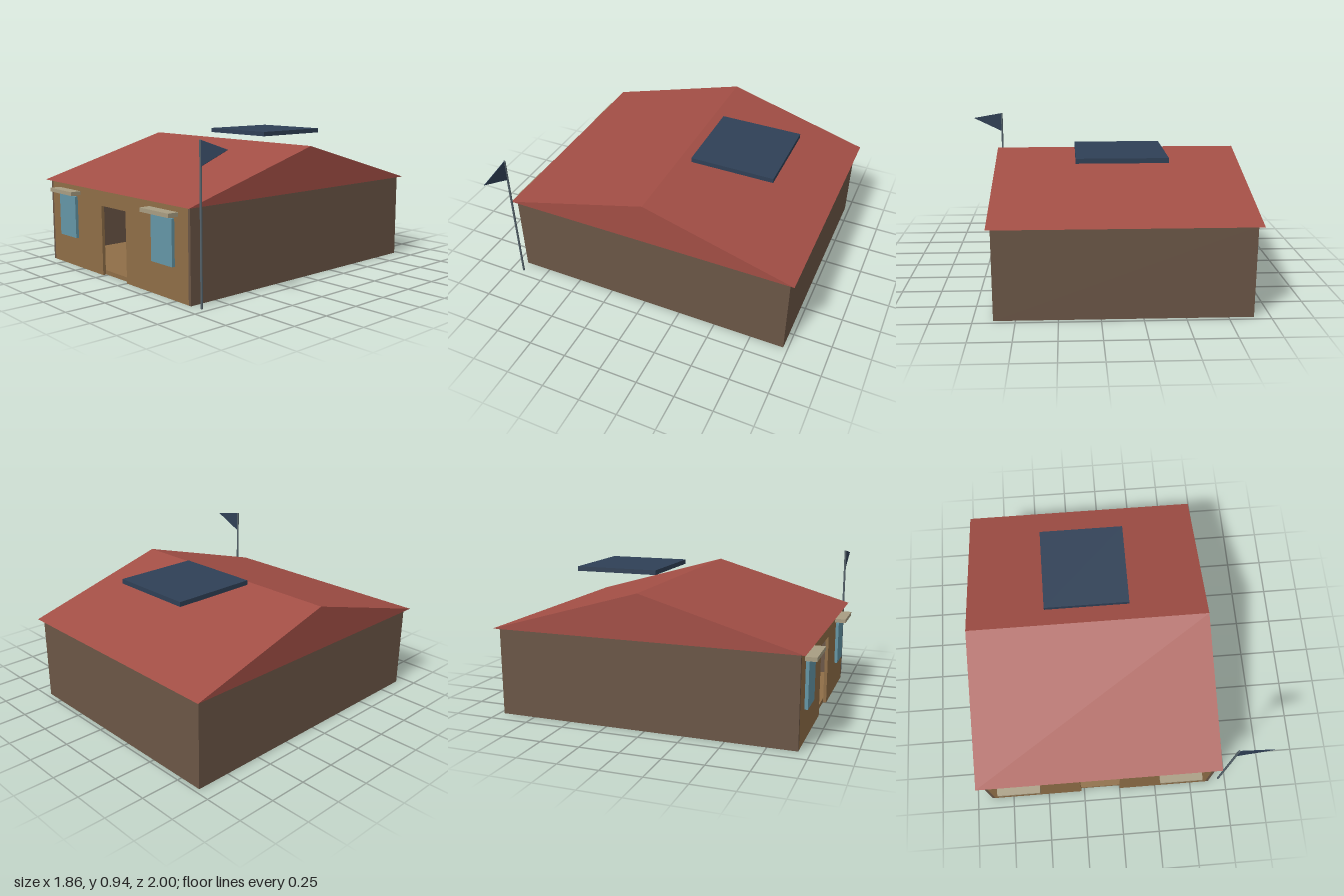
import * as THREE from 'three';

const mat = (color) => new THREE.MeshStandardMaterial({ color });
const wallMat = mat(0x6b5646);
const frontMat = mat(0x8f6e47);
const roofMat = mat(0xa24e45);
const panelMat = mat(0x2f4056);
const glassMat = mat(0x6496a6);
const awningMat = mat(0xa89d82);
const poleMat = mat(0x56646c);

export function createModel() {
  const house = new THREE.Group();
  house.name = 'house';

  const add = (name, geometry, material) => {
    const mesh = new THREE.Mesh(geometry, material);
    mesh.name = name;
    house.add(mesh);
    return mesh;
  };
  // box given by its extents on each axis
  const box = (name, material, [x0, x1], [y0, y1], [z0, z1]) =>
    add(name, new THREE.BoxGeometry(x1 - x0, y1 - y0, z1 - z0), material)
      .position.set((x0 + x1) / 2, (y0 + y1) / 2, (z0 + z1) / 2);

  // hollow shell: floor, back and side walls
  const top = 0.56;
  box('floor', frontMat, [-0.88, 0.61], [0.002, 0.03], [-0.95, 0.91]);
  box('backWall', wallMat, [-0.9, 0.63], [0, top], [-0.97, -0.95]);
  box('rightWall', wallMat, [-0.9, -0.88], [0, top], [-0.95, 0.93]);
  box('leftWall', wallMat, [0.61, 0.63], [0, top], [-0.95, 0.93]);

  // front wall around the open doorway
  box('frontWallRight', frontMat, [-0.88, -0.27], [0, top], [0.91, 0.93]);
  box('frontWallLeft', frontMat, [0, 0.61], [0, top], [0.91, 0.93]);
  box('doorLintel', frontMat, [-0.27, 0], [0.455, top], [0.91, 0.93]);

  // windows with awnings
  for (const x of [-0.66, 0.387]) {
    box('window', glassMat, [x - 0.1, x + 0.1], [0.2, 0.48], [0.925, 0.95]);
    box('awning', awningMat, [x - 0.137, x + 0.137], [0.495, 0.52], [0.925, 1]);
  }

  // gable roof: triangle across the depth, extruded along x
  const gable = new THREE.Shape([
    new THREE.Vector2(-0.96, 0.56),
    new THREE.Vector2(1, 0.56),
    new THREE.Vector2(0.02, 0.84),
  ]);
  const roof = new THREE.ExtrudeGeometry(gable, { depth: 1.585, bevelEnabled: false });
  roof.rotateY(Math.PI / 2);
  add('roof', roof, roofMat).position.x = -0.93;

  // flat panel floating above the back slope
  box('solarPanel', panelMat, [-0.415, 0.14], [0.865, 0.895], [-0.67, -0.117]);

  // flagpole with pennant
  add('flagpole', new THREE.CylinderGeometry(0.007, 0.007, 0.935, 8), poleMat)
    .position.set(0.705, 0.4675, 0.915);
  const pennant = new THREE.Shape([
    new THREE.Vector2(0.705, 0.79),
    new THREE.Vector2(0.925, 0.897),
    new THREE.Vector2(0.705, 0.935),
  ]);
  add('flag', new THREE.ExtrudeGeometry(pennant, { depth: 0.004, bevelEnabled: false }), panelMat)
    .position.z = 0.913;

  return house;
}
